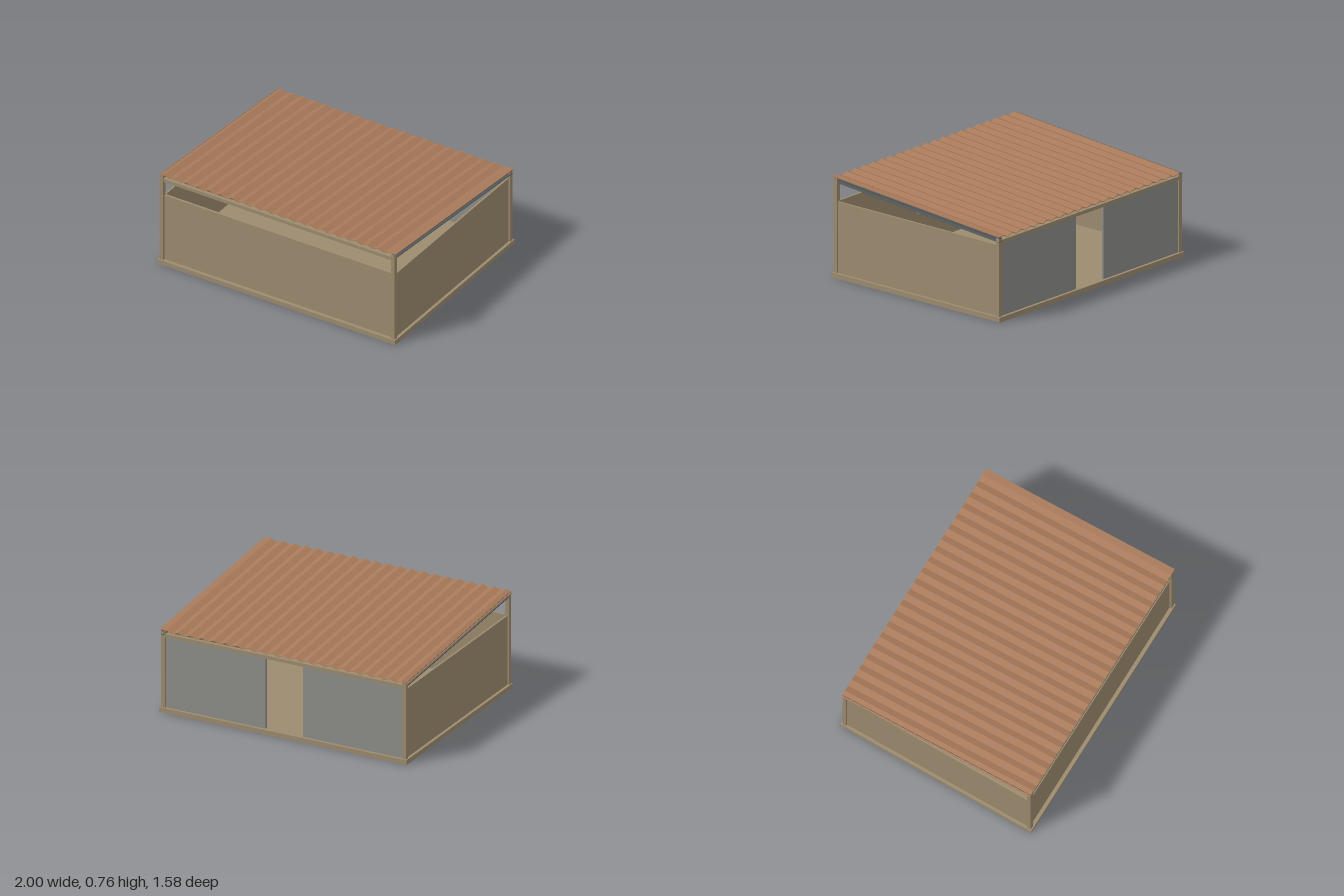
import * as THREE from 'three';

const mat = (name, color, side = THREE.FrontSide) => {
  const m = new THREE.MeshStandardMaterial({ color, side });
  m.name = name;
  return m;
};

// Roof pitch: height rises towards the front
const SLOPE = 0.078;
const MID = 0.698; // ridge height of the corrugation at z = 0

export function createModel() {
  const model = new THREE.Group();
  model.name = 'shed';
  const timber = mat('timberTan', 0x9c8b6e);
  const roofMat = mat('roofBrown', 0xa87a5a);
  const panelGrey = mat('panelGrey', 0x8c8c89);
  const steel = mat('rafterGrey', 0x555b5e);

  // Box given by its min and max corners
  const box = (name, m, x0, x1, y0, y1, z0, z1, pitched = false) => {
    const g = new THREE.BoxGeometry(x1 - x0, y1 - y0, z1 - z0);
    g.translate((x0 + x1) / 2, (y0 + y1) / 2, (z0 + z1) / 2);
    if (pitched) shear(g);
    const mesh = new THREE.Mesh(g, m);
    mesh.name = name;
    model.add(mesh);
    return mesh;
  };

  // Tilt a geometry to the roof pitch while keeping its ends vertical
  const shear = (g) => {
    const p = g.attributes.position;
    for (let i = 0; i < p.count; i++) p.setY(i, p.getY(i) + SLOPE * p.getZ(i));
    g.computeVertexNormals();
    return g;
  };

  // Floor slab
  box('base', timber, -1, 1, 0, 0.036, -0.79, 0.79);

  // Front wall and grey back panels either side of the doorway
  box('frontWall', timber, -0.96, 0.96, 0.036, 0.575, 0.745, 0.763);
  for (const s of [-1, 1]) {
    const [a, b] = s > 0 ? [0.15, 0.96] : [-0.96, -0.15];
    box('backPanel', panelGrey, a, b, 0.036, 0.582, -0.768, -0.752);
  }

  // Side walls, corner posts and pitched channel rafters
  for (const s of [-1, 1]) {
    const side = (name, m, near, far, ...r) =>
      box(name, m, Math.min(s * near, s * far), Math.max(s * near, s * far), ...r);
    side('sideWall', timber, 0.963, 0.978, 0.036, 0.567, -0.748, 0.752);
    side('frontPost', timber, 0.958, 0.99, 0.036, 0.745, 0.75, 0.78);
    side('backPost', timber, 0.958, 0.99, 0.036, 0.624, -0.777, -0.747);
    side('rafterWeb', steel, 0.964, 0.97, MID - 0.045, MID - 0.012, -0.777, 0.777, true);
    side('rafterTopFlange', steel, 0.964, 0.99, MID - 0.018, MID - 0.012, -0.777, 0.777, true);
    side('rafterBottomFlange', steel, 0.964, 0.99, MID - 0.045, MID - 0.039, -0.777, 0.777, true);
  }

  // Cross beams: front, middle, back
  box('frontBeam', timber, -0.97, 0.97, 0.695, 0.722, 0.75, 0.778);
  box('middleBeam', timber, -0.97, 0.97, 0.638, 0.664, -0.012, 0.012);
  box('backBeam', timber, -0.96, 0.96, 0.58, 0.606, -0.776, -0.748);

  // Corrugated sheet: zigzag section, thin, run along the depth
  const pts = [];
  for (let i = 0; i <= 41; i++) pts.push([-1 + i * 0.0475, i % 2 ? 0 : -0.017]);
  pts.push([1, 0]);
  const shape = new THREE.Shape();
  pts.forEach(([x, y], i) => (i ? shape.lineTo(x, y) : shape.moveTo(x, y)));
  [...pts].reverse().forEach(([x, y]) => shape.lineTo(x, y - 0.004));
  const sheet = new THREE.ExtrudeGeometry(shape, { depth: 1.56, bevelEnabled: false });
  sheet.translate(0, MID, -0.78);
  const roof = new THREE.Mesh(shear(sheet), roofMat);
  roof.name = 'corrugatedRoof';
  model.add(roof);

  return model;
}
